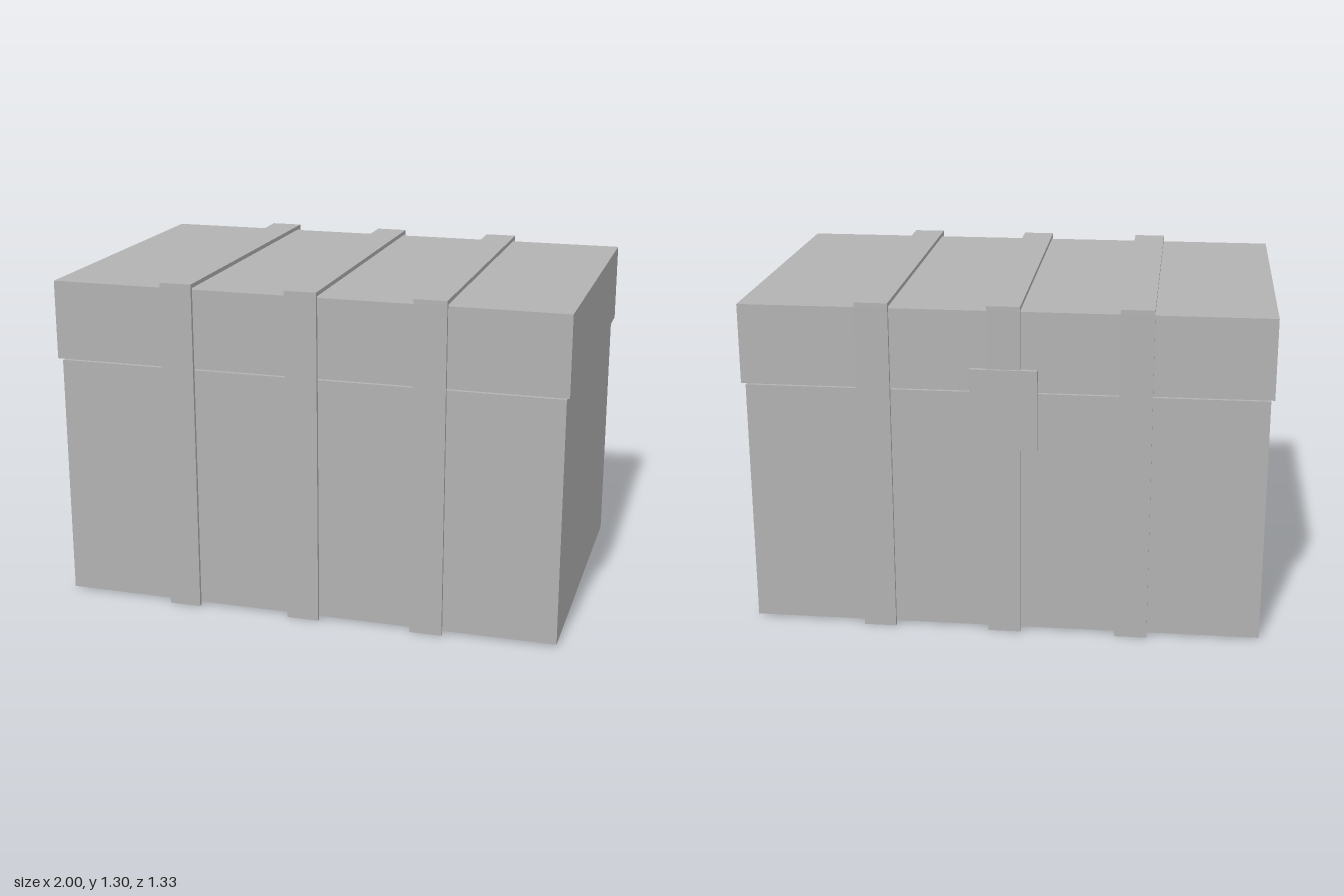
import * as THREE from 'three';

export function createModel() {
  const chest = new THREE.Group();
  chest.name = 'chest';
  const grey = new THREE.MeshStandardMaterial({ color: 0xb2b2b2 });
  grey.name = 'grey';

  // Box given by its lower and upper corners
  const box = (name, [x0, y0, z0], [x1, y1, z1], parent = chest) => {
    const mesh = new THREE.Mesh(new THREE.BoxGeometry(x1 - x0, y1 - y0, z1 - z0), grey);
    mesh.position.set((x0 + x1) / 2, (y0 + y1) / 2, (z0 + z1) / 2);
    mesh.name = name;
    parent.add(mesh);
  };

  // Body, and the slightly wider lid floating just above it
  box('body', [-0.987, 0.008, -0.627], [0.987, 0.965, 0.639]);
  box('lid', [-1, 0.974, -0.641], [1, 1.282, 0.653]);

  // Three straps running up the front, over the lid and down the back
  for (const x of [-0.493, -0.002, 0.489]) {
    const strap = new THREE.Group();
    strap.name = 'strap';
    const l = x - 0.0625, r = x + 0.0625;
    box('strapFront', [l, 0, 0.654], [r, 1.288, 0.668], strap);
    box('strapBack', [l, 0, -0.657], [r, 1.288, -0.642], strap);
    box('strapTop', [l, 1.288, -0.657], [r, 1.304, 0.668], strap);
    chest.add(strap);
  }

  // Latch plate on the back, bridging lid and body
  box('latchPlate', [-0.129, 0.752, -0.666], [0.126, 1.064, -0.646]);

  return chest;
}
